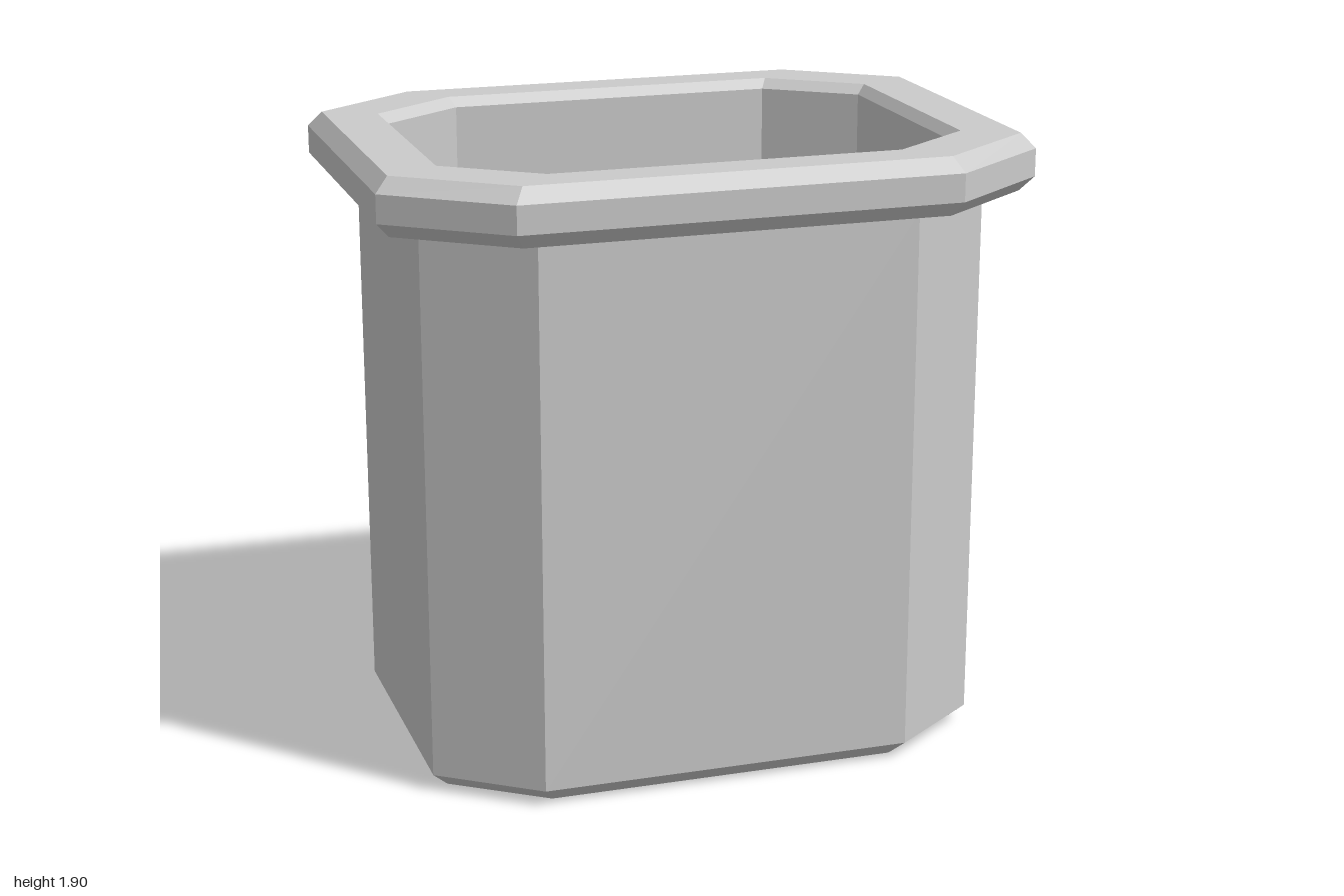
import * as THREE from 'three';

const CORNER = 0.663; // where the cut corners begin, as a share of each half size

// Chamfered-rectangle cross-section, counter-clockwise seen from above
function ring([hx, y, hz]) {
  const cx = hx * CORNER, cz = hz * CORNER;
  return [[hx, cz], [hx, -cz], [cx, -hz], [-cx, -hz], [-hx, -cz], [-hx, cz], [-cx, hz], [cx, hz]]
    .map(([x, z]) => new THREE.Vector3(x, y, z));
}

// Skin a row of [halfWidth, height, halfDepth] sections; optionally close an end
function loft(name, sections, material, { capStart = false, capEnd = false } = {}) {
  const rings = sections.map(ring);
  const points = [];
  for (let k = 0; k + 1 < rings.length; k++) {
    const a = rings[k], b = rings[k + 1];
    for (let i = 0; i < 8; i++) {
      const j = (i + 1) % 8;
      points.push(a[i], a[j], b[j], a[i], b[j], b[i]);
    }
  }
  const first = rings[0], last = rings[rings.length - 1];
  for (let i = 1; i < 7; i++) {
    if (capStart) points.push(first[0], first[i + 1], first[i]);
    if (capEnd) points.push(last[0], last[i], last[i + 1]);
  }
  const geometry = new THREE.BufferGeometry().setFromPoints(points);
  geometry.computeVertexNormals();
  const mesh = new THREE.Mesh(geometry, material);
  mesh.name = name;
  return mesh;
}

export function createModel() {
  const model = new THREE.Group();
  model.name = 'planter';
  const material = new THREE.MeshStandardMaterial({ color: 0xcccccc, flatShading: true });

  // Outer wall with a bevelled foot and a flat underside
  model.add(loft('body', [
    [0.815, 0, 0.585], [0.865, 0.05, 0.635], [0.865, 1.73, 0.635],
  ], material, { capStart: true }));

  // Overhanging lip, bevelled above and below
  model.add(loft('rim', [
    [0.865, 1.73, 0.635], [0.96, 1.73, 0.715], [1, 1.775, 0.75],
    [1, 1.86, 0.75], [0.96, 1.905, 0.715], [0.802, 1.905, 0.588],
  ], material));

  // Hollow inside: bevelled mouth, straight walls and floor
  model.add(loft('cavity', [
    [0.802, 1.905, 0.588], [0.775, 1.875, 0.563], [0.775, 0.09, 0.563],
  ], material, { capEnd: true }));

  return model;
}
